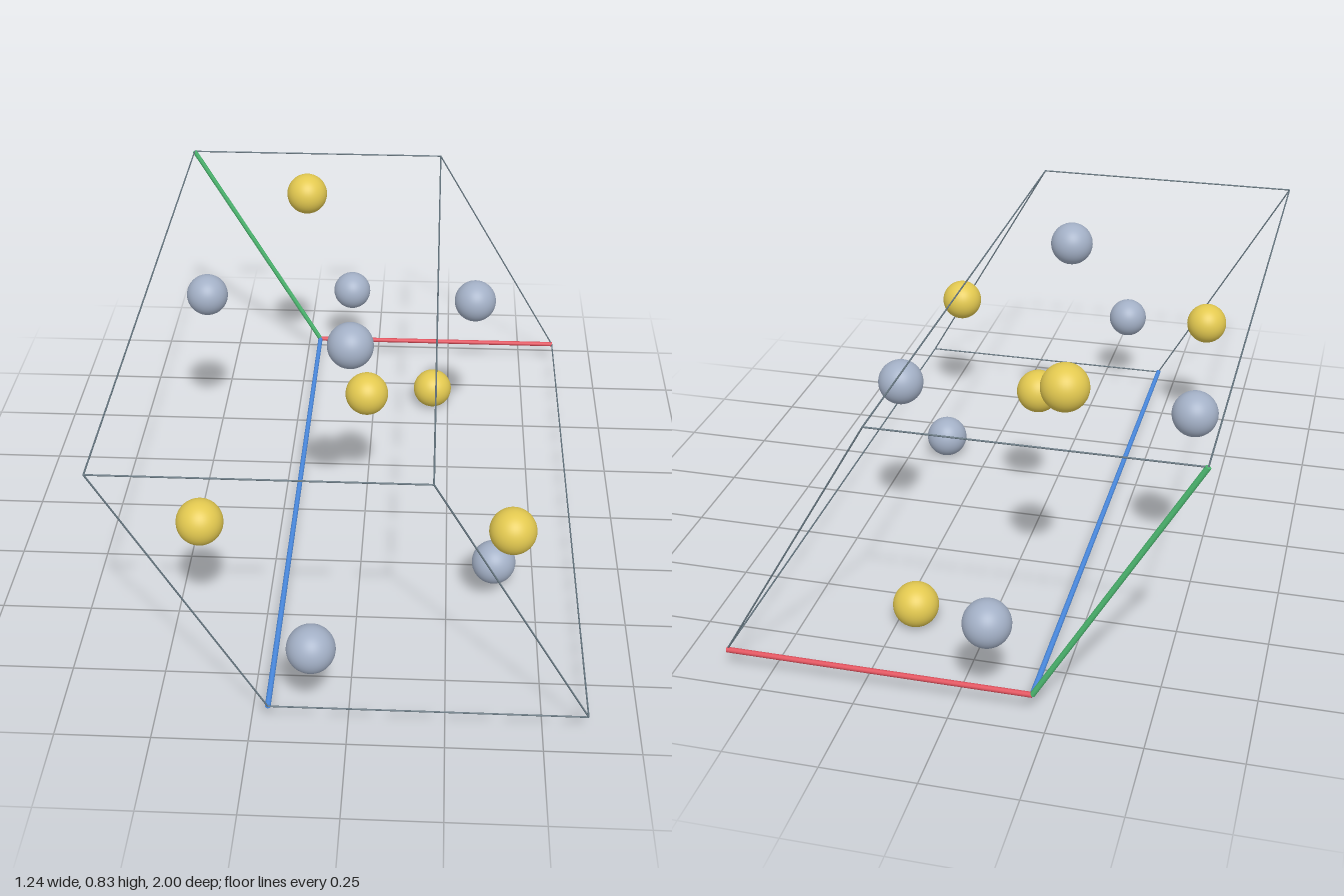
import * as THREE from 'three';

const mat = (name, color) => {
  const m = new THREE.MeshStandardMaterial({ color });
  m.name = name;
  return m;
};

export function createModel() {
  const group = new THREE.Group();
  const grey = mat('blue grey', 0xa3b0c6);
  const yellow = mat('yellow', 0xe3c950);
  const slate = mat('slate line', 0x64747e);
  const red = mat('red', 0xe0505c);
  const green = mat('green', 0x4cb870);
  const blue = mat('blue', 0x4a8ae0);

  // Cell origin and its three edge vectors
  const origin = new THREE.Vector3(-0.204, 0.0635, -0.9375);
  const a = new THREE.Vector3(0.818, 0, 0);
  const b = new THREE.Vector3(-0.409, 0.708, 0);
  const c = new THREE.Vector3(0, 0, 1.875);
  const corner = (i, j, k) => origin.clone()
    .addScaledVector(a, i).addScaledVector(b, j).addScaledVector(c, k);

  // Thin rod between two points
  const rod = (name, p, q, radius, material) => {
    const dir = q.clone().sub(p);
    const mesh = new THREE.Mesh(new THREE.CylinderGeometry(radius, radius, dir.length(), 12), material);
    mesh.position.copy(p).add(q).multiplyScalar(0.5);
    mesh.quaternion.setFromUnitVectors(new THREE.Vector3(0, 1, 0), dir.normalize());
    mesh.name = name;
    group.add(mesh);
  };

  // Twelve cell edges; the three meeting at the origin are coloured axes
  for (const [i, j] of [[0, 0], [1, 0], [0, 1], [1, 1]]) {
    const axis = i + j === 0;
    const radius = axis ? 0.0075 : 0.0022;
    rod(axis ? 'axisA' : 'cellEdge', corner(0, i, j), corner(1, i, j), radius, axis ? red : slate);
    rod(axis ? 'axisB' : 'cellEdge', corner(i, 0, j), corner(i, 1, j), radius, axis ? green : slate);
    rod(axis ? 'axisC' : 'cellEdge', corner(i, j, 0), corner(i, j, 1), radius, axis ? blue : slate);
  }

  // Atoms
  const ball = new THREE.SphereGeometry(0.0625, 40, 28);
  const atoms = (name, material, points) => points.forEach((p) => {
    const mesh = new THREE.Mesh(ball, material);
    mesh.position.set(...p);
    mesh.name = name;
    group.add(mesh);
  });
  atoms('greyAtom', grey, [
    [-0.498, 0.573, -0.3125], [0.32, 0.573, -0.3125],
    [-0.09, 0.262, 0.9375], [-0.09, 0.262, -0.9375],
    [-0.024, 0.772, 0.3125], [0.385, 0.0635, 0.3125],
  ]);
  atoms('yellowAtom', yellow, [
    [-0.213, 0.772, -0.625], [0.197, 0.0635, -0.625],
    [-0.403, 0.411, 0.625], [0.415, 0.411, 0.625],
    [0.005, 0.427, 0],
  ]);
  return group;
}
